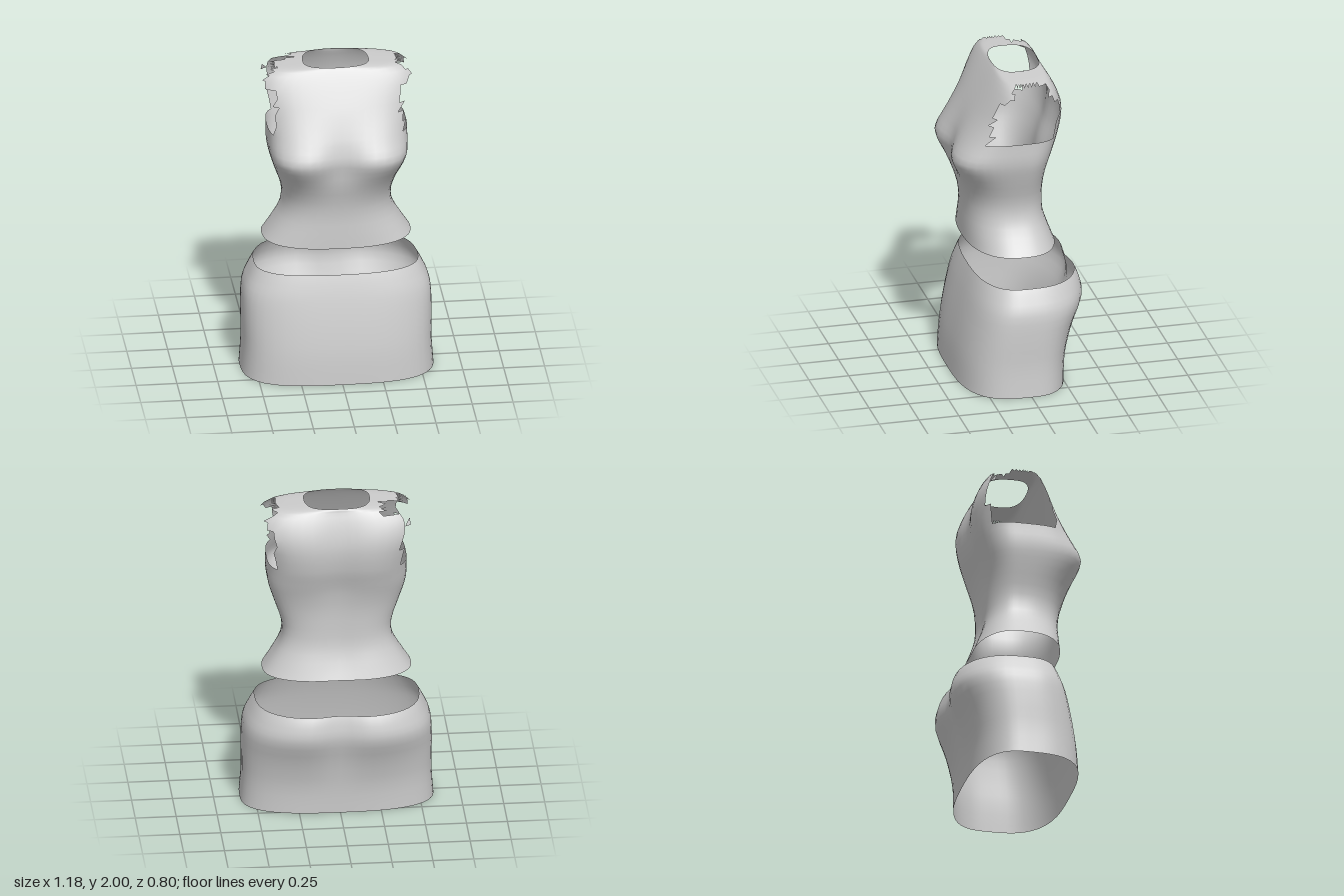
import * as THREE from 'three';

const AROUND = 56;

// Smooth interpolation through the cross-section rows
function rowAt(rows, u) {
  const i = Math.min(Math.floor(u), rows.length - 2), t = u - i;
  const at = k => rows[Math.max(0, Math.min(rows.length - 1, k))];
  return rows[i].map((b, k) => {
    const a = at(i - 1)[k], c = at(i + 1)[k], d = at(i + 2)[k];
    return b + 0.5 * t * (c - a + t * (2 * a - 5 * b + 4 * c - d + t * (3 * (b - c) + d - a)));
  });
}

// Open cloth tube; a row is
// [y, half width, front z, back z, front squareness, back squareness, front dip, back dip]
function clothTube(rows, steps, isHole = () => false) {
  const points = [], index = [];
  const rings = (rows.length - 1) * steps;
  for (let r = 0; r <= rings; r++) {
    const [y, w, zf, zb, nf, nb, df, db] = rowAt(rows, r / steps);
    for (let j = 0; j < AROUND; j++) {
      const a = (j / AROUND) * Math.PI * 2, s = Math.sin(a), c = Math.cos(a);
      const front = c >= 0, n = front ? nf : nb;
      const rad = (Math.abs(s) ** n + Math.abs(c) ** n) ** (-1 / n);
      const x = w * rad * s;
      const dip = (front ? df : -db) * Math.exp(-((x / 0.13) ** 2)) * Math.abs(c);
      points.push(x, y, Math.abs(c) * rad * (front ? zf : zb) - dip);
    }
  }
  const mid = (tri, k) => tri.reduce((sum, v) => sum + points[v * 3 + k], 0) / 3;
  for (let r = 0; r < rings; r++) {
    for (let j = 0; j < AROUND; j++) {
      const k = (j + 1) % AROUND;
      const a = r * AROUND + j, b = r * AROUND + k, c = b + AROUND, d = a + AROUND;
      for (const tri of [[a, b, c], [a, c, d]]) {
        if (!isHole(mid(tri, 0), mid(tri, 1), mid(tri, 2))) index.push(...tri);
      }
    }
  }
  const g = new THREE.BufferGeometry();
  g.setAttribute('position', new THREE.Float32BufferAttribute(points, 3));
  g.setIndex(index);
  g.computeVertexNormals();
  return g;
}

// Armhole outline as (z, y)
const ARMHOLE = [
  [0.21, 1.61], [0.2, 1.75], [0.15, 1.86], [0.08, 1.92], [0.06, 2.0],
  [-0.14, 2.0], [-0.15, 1.93], [-0.2, 1.87], [-0.23, 1.79], [-0.22, 1.61],
];

function inArmhole(x, y, z) {
  if (y < 1.61) return false;
  // Torn notch on the right shoulder
  if (x < -0.27 && y > 1.9 && z < -0.07 && z > -0.19) return true;
  if (Math.abs(x) < 0.385) return false;
  let inside = false;
  ARMHOLE.forEach(([z1, y1], i) => {
    const [z2, y2] = ARMHOLE[(i + 1) % ARMHOLE.length];
    if ((y1 > y) !== (y2 > y) && z < z1 + ((y - y1) / (y2 - y1)) * (z2 - z1)) inside = !inside;
  });
  return inside;
}

export function createModel() {
  const cloth = new THREE.MeshStandardMaterial({ color: 0xcccccc, side: THREE.DoubleSide });
  cloth.name = 'light grey cloth';

  // Flared hem, waist, bust, shoulders, then inward to the neckline
  const bodiceRows = [
    [0.87, 0.455, 0.295, -0.25, 2.5, 2.6, 0, 0.01],
    [0.97, 0.39, 0.293, -0.215, 2.5, 2.6, 0, 0.02],
    [1.07, 0.34, 0.29, -0.185, 2.5, 2.6, 0, 0.02],
    [1.18, 0.335, 0.303, -0.18, 2.5, 2.6, 0, 0.02],
    [1.3, 0.372, 0.345, -0.182, 2.8, 2.7, 0.01, 0.02],
    [1.4, 0.405, 0.393, -0.2, 3.6, 2.8, 0.045, 0.025],
    [1.47, 0.422, 0.412, -0.22, 4, 2.9, 0.055, 0.03],
    [1.54, 0.426, 0.377, -0.242, 3.8, 3, 0.035, 0.03],
    [1.61, 0.425, 0.335, -0.262, 3.6, 3.2, 0.015, 0.03],
    [1.73, 0.445, 0.266, -0.278, 3.2, 3.5, 0, 0.03],
    [1.83, 0.475, 0.212, -0.265, 3, 3.8, 0, 0.03],
    [1.92, 0.475, 0.16, -0.228, 3, 3.8, 0, 0.02],
    [1.975, 0.41, 0.125, -0.195, 3, 3.6, 0, 0.01],
    [1.99, 0.31, 0.114, -0.182, 2.8, 3.2, 0, 0],
    [1.998, 0.2, 0.11, -0.175, 2.5, 3, 0, 0],
  ];
  const skirtRows = [
    [0, 0.59, 0.385, -0.285, 3.1, 2.8, 0, 0],
    [0.18, 0.578, 0.372, -0.295, 3.1, 2.8, 0, 0],
    [0.36, 0.58, 0.343, -0.345, 3, 2.7, 0, 0.02],
    [0.52, 0.573, 0.308, -0.412, 2.9, 2.7, 0, 0.045],
    [0.62, 0.532, 0.28, -0.402, 2.8, 2.7, 0, 0.045],
    [0.68, 0.5, 0.26, -0.375, 2.7, 2.7, 0, 0.035],
  ];

  const group = new THREE.Group();
  const bodice = new THREE.Mesh(clothTube(bodiceRows, 2, inArmhole), cloth);
  bodice.name = 'bodice';
  const skirt = new THREE.Mesh(clothTube(skirtRows, 3), cloth);
  skirt.name = 'skirt';
  group.add(bodice, skirt);
  return group;
}
